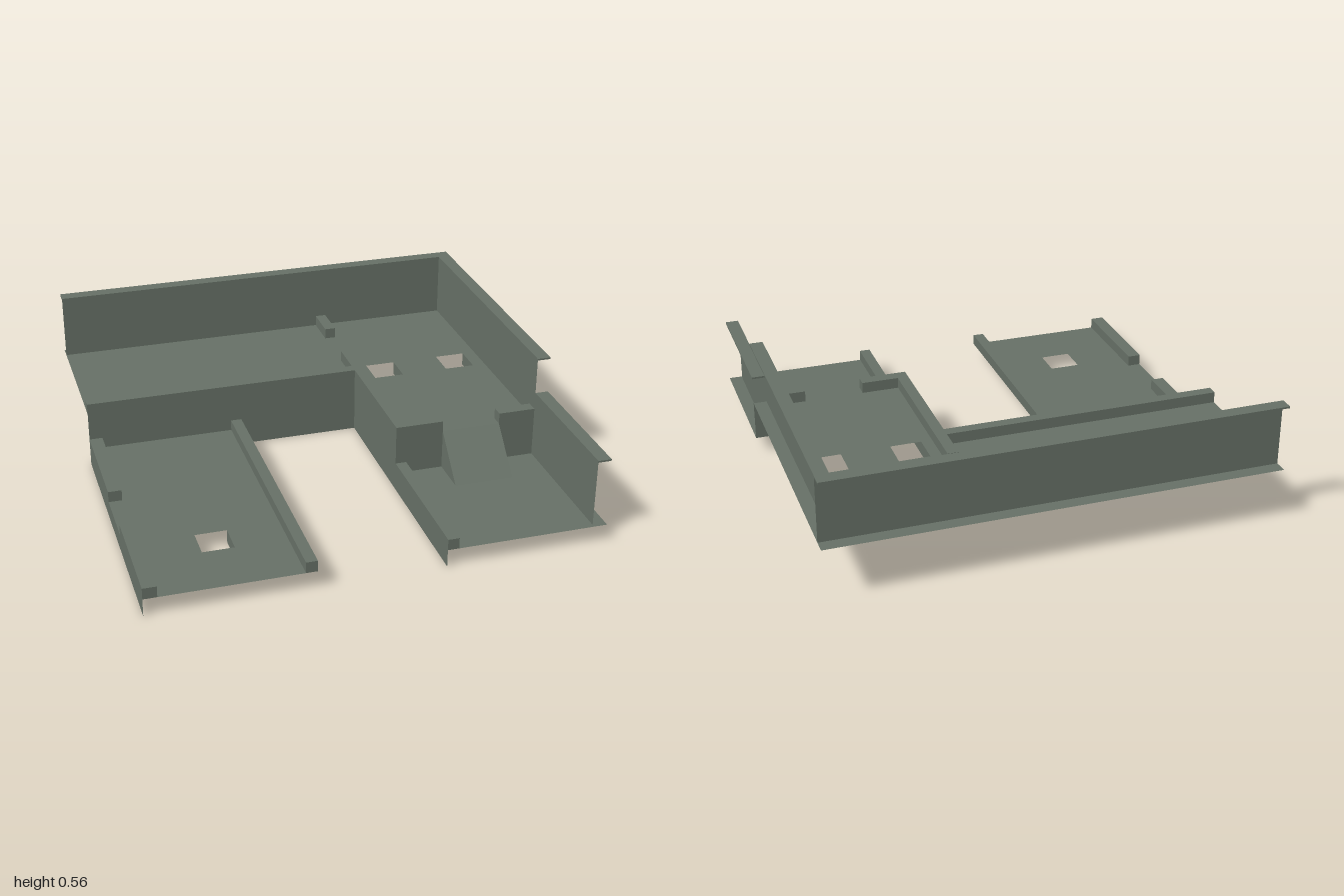
import * as THREE from 'three';

const LOW = 0.08, HIGH = 0.26, KERB = 0.05, EDGE = 0.94;

export function createModel() {
  const model = new THREE.Group();
  model.name = 'walkwayPlatform';
  const concrete = new THREE.MeshStandardMaterial({ color: 0x667066, side: THREE.DoubleSide });
  concrete.name = 'grey green concrete';

  const add = (name, geometry) => {
    const mesh = new THREE.Mesh(geometry, concrete);
    mesh.name = name;
    model.add(mesh);
    return mesh;
  };

  // Solid block between two corners
  const block = (name, x0, x1, y0, y1, z0, z1) =>
    add(name, new THREE.BoxGeometry(x1 - x0, y1 - y0, z1 - z0))
      .position.set((x0 + x1) / 2, (y0 + y1) / 2, (z0 + z1) / 2);

  // Thin upright sheet running along x
  const sheetX = (name, z, x0, x1, y0, y1) =>
    add(name, new THREE.PlaneGeometry(x1 - x0, y1 - y0))
      .position.set((x0 + x1) / 2, (y0 + y1) / 2, z);

  // Thin upright sheet running along z
  const sheetZ = (name, x, z0, z1, y0, y1) => {
    const mesh = add(name, new THREE.PlaneGeometry(z1 - z0, y1 - y0));
    mesh.rotation.y = Math.PI / 2;
    mesh.position.set(x, (y0 + y1) / 2, (z0 + z1) / 2);
  };

  // Flat floor from an outline in x, z with rectangular openings [x0, x1, z0, z1]
  const floor = (name, y, outline, openings) => {
    const shape = new THREE.Shape(outline.map(([x, z]) => new THREE.Vector2(x, -z)));
    for (const [x0, x1, z0, z1] of openings) {
      shape.holes.push(new THREE.Path([[x0, z0], [x1, z0], [x1, z1], [x0, z1]]
        .map(([x, z]) => new THREE.Vector2(x, -z))));
    }
    const geometry = new THREE.ShapeGeometry(shape);
    geometry.rotateX(-Math.PI / 2);
    add(name, geometry).position.y = y;
  };

  // Floors with square openings
  const upperHoles = [[0.38, 0.52, -0.41, -0.27], [0.74, 0.88, -0.41, -0.27]];
  const lowerHoles = [[-0.7, -0.56, 0.59, 0.73]];
  floor('upperFloor', HIGH,
    [[-1, -1], [1, -1], [1, 0.33], [0.28, 0.33], [0.28, -0.28], [-1, -0.28]], upperHoles);
  floor('lowerRightFloor', LOW, [[-1, -0.28], [-0.28, -0.28], [-0.28, 1], [-1, 1]], lowerHoles);
  floor('lowerLeftFloor', LOW,
    [[0.28, 0.33], [0.5, 0.33], [0.5, 0.51], [0.77, 0.51], [0.77, 0.33], [1, 0.33], [1, 1], [0.28, 1]], []);

  // Short panel hanging from one side of each opening
  for (const [, x1, z0, z1] of upperHoles) sheetZ('openingPanel', x1, z0, z1, HIGH - 0.06, HIGH);
  for (const [, x1, z0, z1] of lowerHoles) sheetZ('openingPanel', x1, z0, z1, LOW - 0.06, LOW);

  // Tall outer walls, set in from the floor edge under a projecting cap
  sheetX('backWall', -EDGE, -1, 1, HIGH, 0.56);
  sheetZ('sideWall', EDGE, -EDGE, 0.33, HIGH, 0.56);
  sheetZ('lowerSideWall', EDGE, 0.33, 0.985, LOW, 0.39);
  block('backWallCap', -1, 1, 0.552, 0.56, -1, -EDGE);
  block('sideWallCap', EDGE, 1, 0.552, 0.56, -EDGE, 0.33);
  block('lowerSideWallCap', EDGE, 1, 0.382, 0.39, 0.33, 0.985);

  // Risers and skirts under the floors
  sheetX('rearRiser', -0.28, -1, -0.28, LOW, HIGH);
  sheetX('rearRiserDeep', -0.28, -0.28, 0.28, 0, HIGH);
  sheetX('frontRiser', 0.33, 0.28, 0.5, LOW, HIGH);
  sheetX('frontRiser', 0.33, 0.77, 1, LOW, HIGH);
  sheetZ('innerRiser', 0.28, -0.28, 0.33, 0, HIGH);
  sheetZ('innerSkirt', 0.28, 0.33, 1, 0, LOW);
  sheetZ('outerSkirt', -1, -0.28, 1, 0, LOW);

  // Kerbs along the floor edges: [floor height, x0, x1, z0, z1]
  const kerbs = [
    [HIGH, -1, 0.28, -0.33, -0.28],
    [HIGH, 0.28, 0.33, -EDGE, -0.77],
    [HIGH, 0.28, 0.33, -0.5, 0.33],
    [HIGH, 0.33, 0.5, 0.275, 0.33],
    [HIGH, 0.77, EDGE, 0.275, 0.33],
    [LOW, 0.28, 0.33, 0.33, 1],
    [LOW, -0.33, -0.28, -0.28, 1],
    [LOW, -1, -0.94, -0.28, 0.22],
    [LOW, -1, -0.94, 0.5, 1],
  ];
  for (const [y, x0, x1, z0, z1] of kerbs) block('kerb', x0, x1, y, y + KERB, z0, z1);

  // Ramp between the two levels, with triangular cheeks
  const run = 0.18, rise = HIGH - LOW;
  const ramp = add('ramp', new THREE.PlaneGeometry(0.27, Math.hypot(run, rise)));
  ramp.rotation.x = -Math.atan2(run, rise);
  ramp.position.set(0.635, (LOW + HIGH) / 2, 0.33 + run / 2);
  const cheek = new THREE.Shape([[0, 0], [-run, 0], [0, rise]].map(([a, b]) => new THREE.Vector2(a, b)));
  for (const x of [0.5, 0.77]) {
    const side = add('rampCheek', new THREE.ShapeGeometry(cheek));
    side.rotation.y = Math.PI / 2;
    side.position.set(x, LOW, 0.33);
  }

  return model;
}
